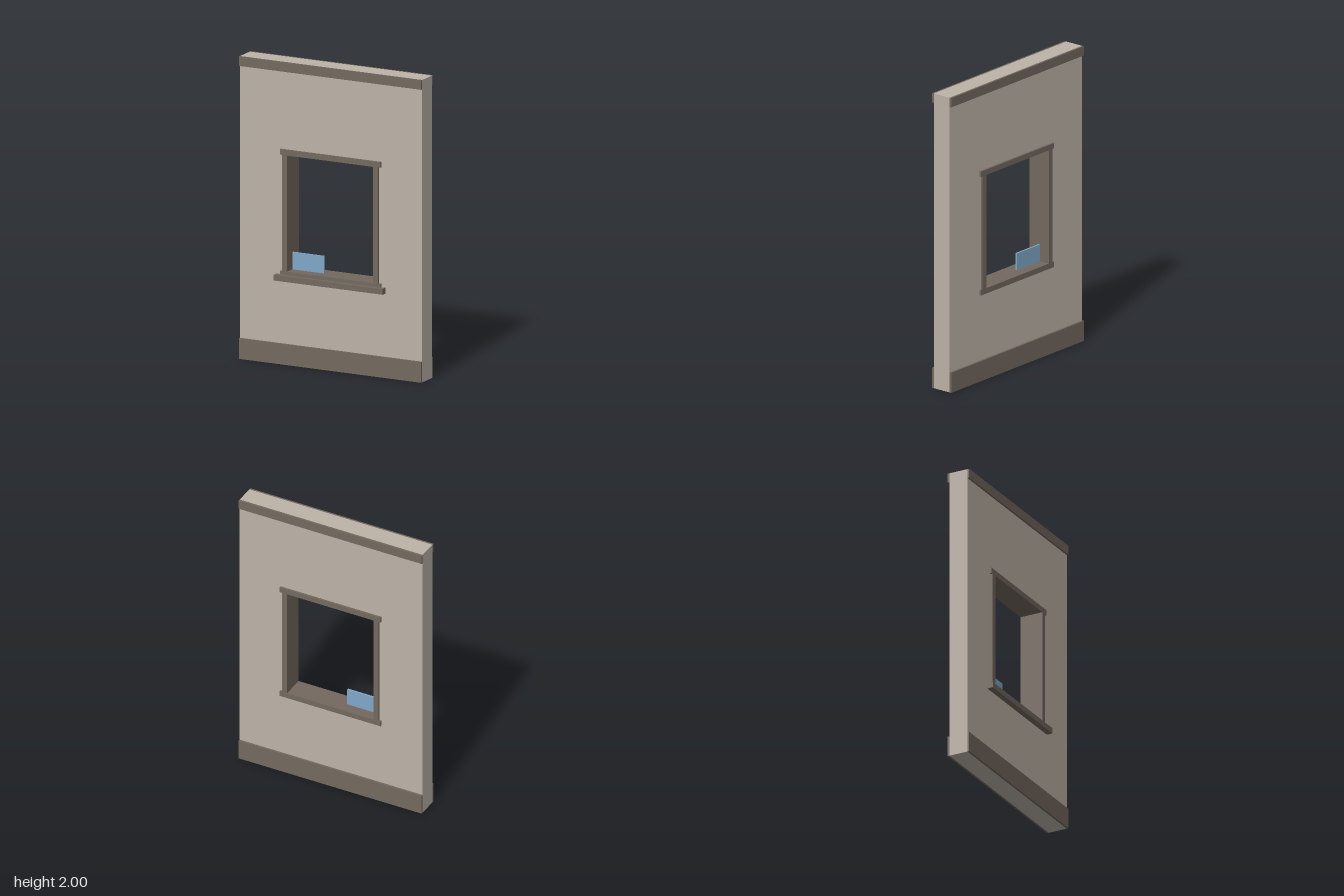
import * as THREE from 'three';

export function createModel() {
  const model = new THREE.Group();
  model.name = 'windowWall';

  const plaster = new THREE.MeshStandardMaterial({ color: 0xbdb3a8 });
  plaster.name = 'plaster';
  const trim = new THREE.MeshStandardMaterial({ color: 0x74695f });
  trim.name = 'brown trim';
  const glass = new THREE.MeshStandardMaterial({ color: 0x80a8c9 });
  glass.name = 'blue glass';

  const HALF = 0.667;
  const WALL_BACK = -0.079, WALL_FRONT = 0.053;
  const TRIM_BACK = -0.093, TRIM_FRONT = 0.066;

  // Box given by its lower and upper limits on each axis
  function box(name, material, [x0, x1], [y0, y1], [z0, z1]) {
    const mesh = new THREE.Mesh(new THREE.BoxGeometry(x1 - x0, y1 - y0, z1 - z0), material);
    mesh.position.set((x0 + x1) / 2, (y0 + y1) / 2, (z0 + z1) / 2);
    mesh.name = name;
    model.add(mesh);
  }

  function rect(path, x0, y0, x1, y1) {
    path.moveTo(x0, y0);
    path.lineTo(x1, y0);
    path.lineTo(x1, y1);
    path.lineTo(x0, y1);
    path.closePath();
    return path;
  }

  // Wall slab; the edge of its opening is hidden inside the window frame
  const outline = rect(new THREE.Shape(), -HALF, 0, HALF, 2);
  outline.holes.push(rect(new THREE.Path(), -0.334, 0.6, 0.334, 1.405));
  const wall = new THREE.Mesh(
    new THREE.ExtrudeGeometry(outline, { depth: WALL_FRONT - WALL_BACK, bevelEnabled: false }),
    plaster
  );
  wall.position.z = WALL_BACK;
  wall.name = 'wall';
  model.add(wall);

  // Baseboard and crown strips on both faces
  const faces = [['front', [WALL_FRONT, TRIM_FRONT]], ['back', [TRIM_BACK, WALL_BACK]]];
  for (const [side, z] of faces) {
    box(side + 'Baseboard', trim, [-HALF, HALF], [0, 0.137], z);
    box(side + 'Crown', trim, [-HALF, HALF], [1.937, 2], z);
  }

  // Window frame running through the full depth of the wall
  const depth = [TRIM_BACK, TRIM_FRONT];
  box('frameHead', trim, [-0.368, 0.368], [1.386, 1.423], depth);
  box('frameBottom', trim, [-0.368, 0.368], [0.581, 0.618], depth);
  box('leftJamb', trim, [0.315, 0.352], [0.618, 1.386], depth);
  box('rightJamb', trim, [-0.352, -0.315], [0.618, 1.386], depth);

  // Projecting front sill
  box('sill', trim, [-0.4, 0.4], [0.556, 0.594], [WALL_FRONT, 0.093]);

  // Remaining piece of window pane in the lower corner
  box('glassPane', glass, [-0.315, -0.085], [0.618, 0.732], [-0.02, -0.007]);

  return model;
}
